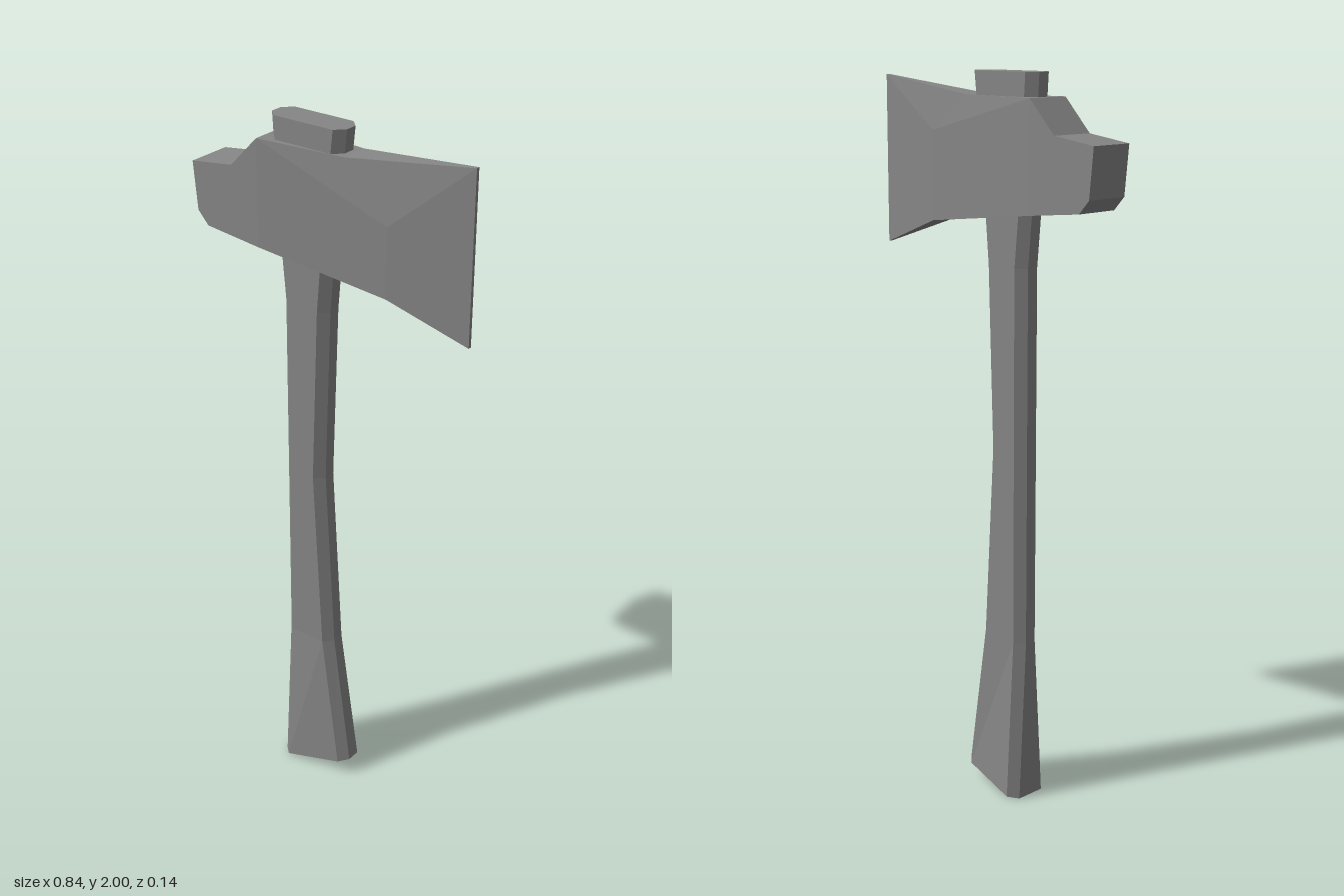
import * as THREE from 'three';

const material = new THREE.MeshStandardMaterial({ color: 0x868686, flatShading: true });

// Builds a flat-shaded mesh from corner points and faces (each fanned from its first corner)
function polyMesh(name, points, faces) {
  const pos = [];
  for (const f of faces) {
    for (let i = 1; i < f.length - 1; i++) {
      pos.push(...points[f[0]], ...points[f[i]], ...points[f[i + 1]]);
    }
  }
  const geo = new THREE.BufferGeometry();
  geo.setAttribute('position', new THREE.Float32BufferAttribute(pos, 3));
  geo.computeVertexNormals();
  const mesh = new THREE.Mesh(geo, material);
  mesh.name = name;
  return mesh;
}

// Handle: chamfered eight-sided sections lofted upwards
function createHandle() {
  // back x, front x, back y, front y, back half width, front half width, centre z
  const sections = [
    [-0.147, 0.073, 0, 0.05, 0.0685, 0.045, -0.001],
    [-0.147, 0.012, 0.46, 0.46, 0.042, 0.042, -0.004],
    [-0.147, -0.018, 1.0, 1.0, 0.042, 0.042, -0.004],
    [-0.147, -0.001, 1.5, 1.5, 0.042, 0.042, -0.004],
    [-0.16, 0.011, 1.64, 1.64, 0.042, 0.042, -0.004],
    [-0.184, 0.05, 2, 2, 0.042, 0.042, -0.005],
  ];
  const c = 0.025;
  const points = [], faces = [];
  sections.forEach(([x0, x1, y0, y1, hb, hf, zc], r) => {
    const ring = [
      [x0, hb - c], [x0 + c, hb], [x1 - c, hf], [x1, hf - c],
      [x1, c - hf], [x1 - c, -hf], [x0 + c, -hb], [x0, c - hb],
    ];
    for (const [x, z] of ring) {
      points.push([x, y0 + (y1 - y0) * (x - x0) / (x1 - x0), zc + z]);
    }
    if (r === 0) return;
    for (let i = 0; i < 8; i++) {
      const j = (i + 1) % 8, a = (r - 1) * 8, b = r * 8;
      faces.push([a + i, a + j, b + j, b + i]);
    }
  });
  const last = (sections.length - 1) * 8;
  faces.push([7, 6, 5, 4, 3, 2, 1, 0]);
  faces.push([0, 1, 2, 3, 4, 5, 6, 7].map((i) => last + i));
  return polyMesh('handle', points, faces);
}

// Head: side outline with half widths, set on both sides and joined by a rim
function createHead() {
  const w = 0.065;
  const outline = [
    [-0.418, 1.832, w], [-0.405, 1.7, w], [-0.372, 1.664, w], [-0.2, 1.646, w],
    [0.19, 1.599, 0.041], [0.417, 1.518, 0.005], [0.417, 1.98, 0.005],
    [0.06, 1.938, 0.04], [-0.2, 1.938, w], [-0.285, 1.85, w],
  ];
  const n = outline.length;
  // Each side ends with its cheek ridge point; the front bevel is the softer one
  const points = [[1, 1.79], [-1, 1.84]].flatMap(([s, ridgeY]) =>
    [...outline, [0.19, ridgeY, 0.041]].map(([x, y, h]) => [x, y, 0.007 * x - 0.006 + s * h]));
  const cheek = [
    [9, 0, 1, 2, 3, 8],  // poll
    [8, 3, 4, 10],       // cheek
    [10, 4, 5, 6],       // blade
    [10, 6, 7, 8],       // upper bevel
  ];
  const back = n + 1;
  const faces = [...cheek];
  for (const [first, ...rest] of cheek) {
    faces.push([first, ...rest.reverse()].map((i) => i + back));
  }
  for (let i = 0; i < n; i++) {
    const j = (i + 1) % n;
    faces.push([i, i + back, j + back, j]);
  }
  return polyMesh('axeHead', points, faces);
}

export function createModel() {
  const group = new THREE.Group();
  group.name = 'axe';
  group.add(createHandle(), createHead());
  return group;
}
